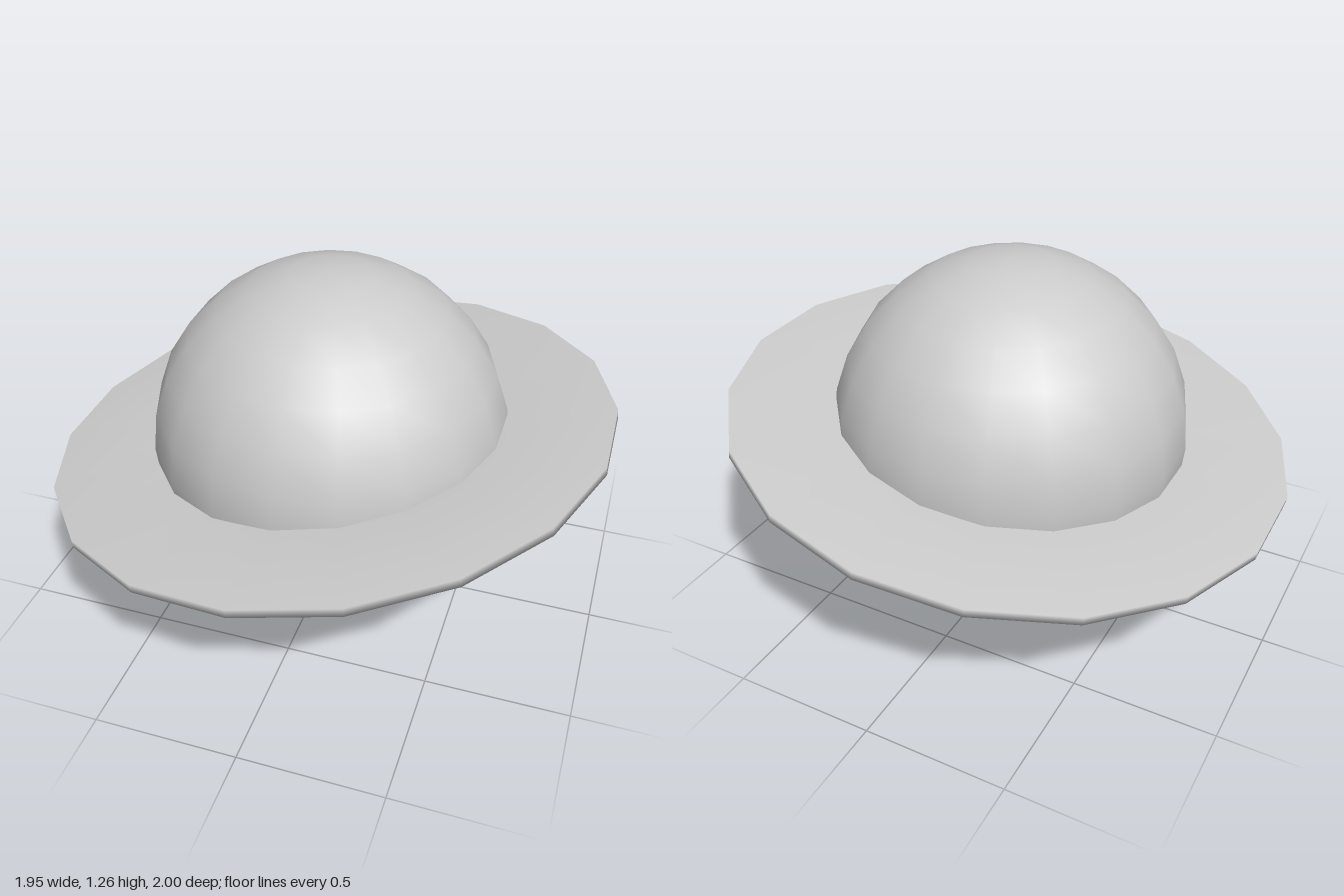
import * as THREE from 'three';
import { mergeVertices } from 'three/addons/utils/BufferGeometryUtils.js';

const SIDES = 18;
const RADIUS = 0.63;

export function createModel() {
  const group = new THREE.Group();
  const material = new THREE.MeshStandardMaterial({ color: 0xcccccc });

  // Smooth globe, turned so that columns of vertices lie on +z and -z
  const globe = new THREE.Mesh(new THREE.SphereGeometry(RADIUS, SIDES, 14), material);
  globe.name = 'planet';
  globe.rotation.y = Math.PI / 2;
  globe.position.y = RADIUS;
  group.add(globe);

  // Thin flat ring: rectangular section, inner edge sunk into the globe
  const inner = 0.55, outer = 1, half = 0.015;
  const section = [[inner, -half], [outer, -half], [outer, half], [inner, half], [inner, -half]]
    .map(([r, y]) => new THREE.Vector2(r, y));
  let ringGeometry = new THREE.LatheGeometry(section, SIDES);
  // Shared corners give a softly shaded rim and flat faces
  ringGeometry.deleteAttribute('uv');
  ringGeometry.deleteAttribute('normal');
  ringGeometry = mergeVertices(ringGeometry);
  ringGeometry.computeVertexNormals();

  const ring = new THREE.Mesh(ringGeometry, material);
  ring.name = 'ring';
  ring.position.y = RADIUS + 0.005;
  ring.rotation.z = THREE.MathUtils.degToRad(8.6);
  group.add(ring);

  return group;
}
